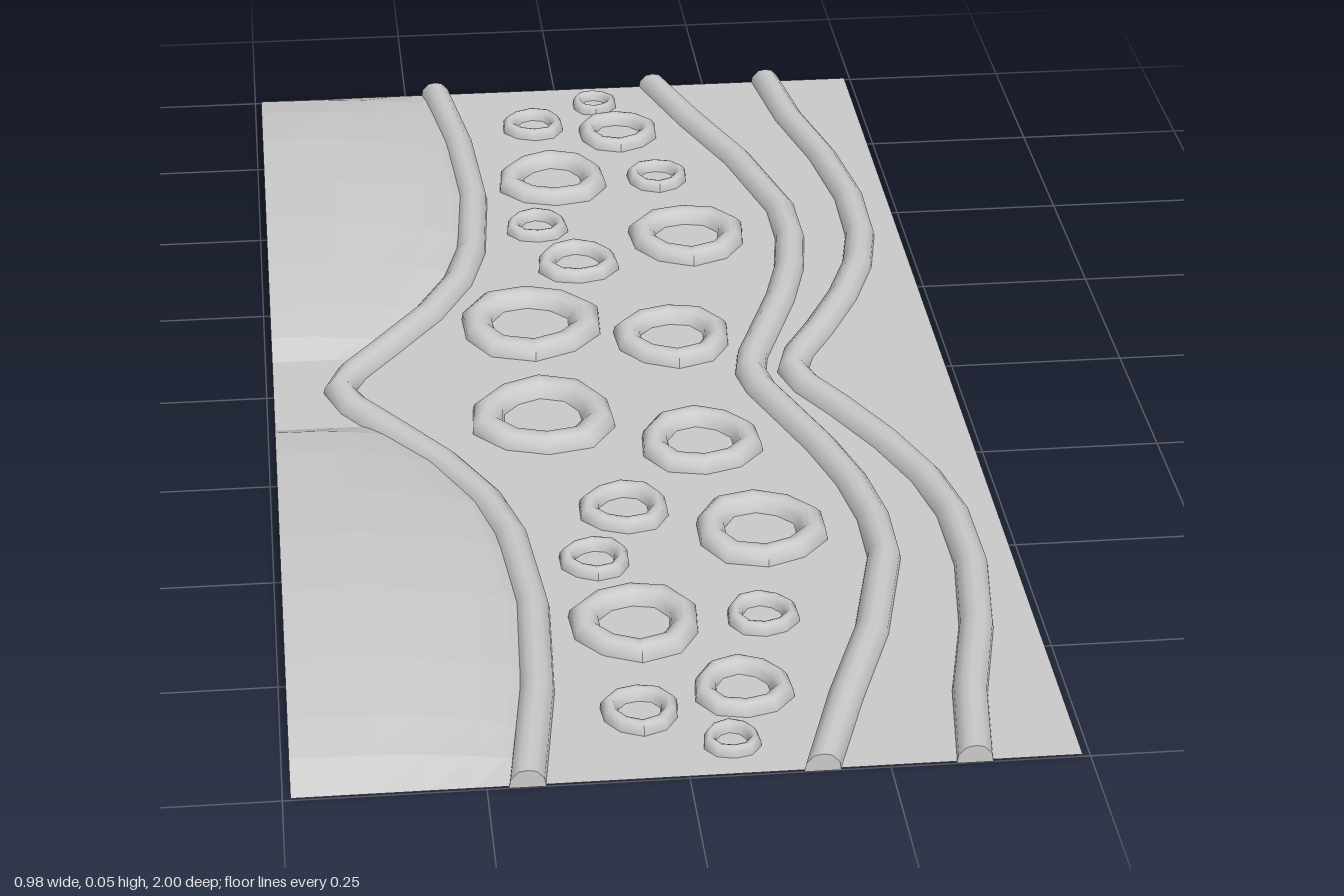
import * as THREE from 'three';

const HALF_X = 0.49;
const BASE = 0.003;
const flat = new THREE.MeshStandardMaterial({ color: 0xcccccc, flatShading: true });
const smooth = new THREE.MeshStandardMaterial({ color: 0xcccccc });
const sheet = new THREE.MeshStandardMaterial({ color: 0xcccccc, side: THREE.DoubleSide });

// Centre line of each ridge for z >= 0, as [z, x]; mirrored for z < 0
const leftLine = [[0, -0.395], [0.05, -0.375], [0.12, -0.325], [0.22, -0.255], [0.32, -0.205],
  [0.42, -0.178], [0.6, -0.163], [0.8, -0.173], [1, -0.2]];
const middleLine = [[0, 0.203], [0.05, 0.212], [0.12, 0.238], [0.22, 0.275], [0.32, 0.303],
  [0.42, 0.318], [0.52, 0.317], [0.7, 0.272], [0.85, 0.215], [1, 0.165]];
const rightLine = [[0, 0.265], [0.05, 0.28], [0.12, 0.32], [0.22, 0.37], [0.32, 0.408],
  [0.42, 0.428], [0.55, 0.43], [0.7, 0.41], [0.85, 0.375], [1, 0.355]];

// Linear interpolation through a short table of [input, output]
function lookup(table, t) {
  for (let i = 1; i < table.length; i++) {
    const [a, va] = table[i - 1];
    const [b, vb] = table[i];
    if (t <= b) return va + (vb - va) * Math.max(0, (t - a) / (b - a));
  }
  return table[table.length - 1][1];
}

// Surface through rows of points: rows run along +z, columns along +x
function loft(rows, capped) {
  const pos = rows.flat(2);
  const n = rows[0].length;
  const index = [];
  for (let i = 0; i < rows.length - 1; i++) {
    for (let j = 0; j < n - 1; j++) {
      const a = i * n + j;
      const b = a + n;
      index.push(a, b, a + 1, a + 1, b, b + 1);
    }
  }
  if (capped) {
    const first = pos.length / 3;
    pos.push(...rows[0].flat(), ...rows[rows.length - 1].flat());
    for (let j = 1; j < n - 1; j++) {
      index.push(first, first + j, first + j + 1);
      index.push(first + n, first + n + j + 1, first + n + j);
    }
  }
  const geo = new THREE.BufferGeometry();
  geo.setAttribute('position', new THREE.Float32BufferAttribute(pos, 3));
  geo.setIndex(index);
  geo.computeVertexNormals();
  return geo;
}

// Rounded bead swept along a centre line
function ridgeGeometry(line) {
  const section = [[-0.023, 0], [-0.021, 0.012], [-0.011, 0.023], [0, 0.025],
    [0.011, 0.023], [0.021, 0.012], [0.023, 0]];
  const path = [...line.slice(1).reverse().map(([z, x]) => [-z, x]), ...line];
  const rows = path.map(([z, x], i) => {
    const end = i === 0 || i === path.length - 1;
    const p = path[Math.max(i - 1, 0)];
    const q = path[Math.min(i + 1, path.length - 1)];
    const dir = end ? new THREE.Vector2(1, 0) : new THREE.Vector2(q[0] - p[0], q[1] - p[1]).normalize();
    return section.map(([s, y]) => [x + s * dir.x, y, z - s * dir.y]);
  });
  return loft(rows, true);
}

// Faceted mound between the left ridge and the panel edge
function moundGeometry(side) {
  const rise = [[0, 0], [0.1, 0.33], [0.23, 0.56], [0.43, 0.78], [0.66, 0.96], [1, 1]];
  const swell = [[0.1, 0], [0.14, 0.4], [0.22, 0.62], [0.34, 0.82], [0.46, 0.96], [0.6, 1],
    [0.76, 0.93], [0.88, 0.72], [0.95, 0.48], [1, 0]];
  const rows = swell.map(([z, h]) => {
    const inner = lookup(leftLine, z);
    return rise.map(([u, r]) =>
      [inner + (-HALF_X - inner) * u, BASE + 0.049 * h * r, side * z]).reverse();
  });
  if (side < 0) rows.reverse();
  return loft(rows, false);
}

// Slightly uneven raised ring with an open middle
function ringGeometry(radius, phase) {
  const h = Math.min(0.025, 0.013 + 0.12 * radius);
  const profile = [[1, 0], [0.98, 0.55], [0.88, 0.92], [0.78, 1], [0.67, 0.9], [0.57, 0.5], [0.54, 0]]
    .map(([r, y]) => new THREE.Vector2(r * radius, y * h));
  const geo = new THREE.LatheGeometry(profile, 10);
  const p = geo.attributes.position;
  for (let i = 0; i < p.count; i++) {
    const a = Math.atan2(p.getZ(i), p.getX(i));
    const k = 0.97 + 0.04 * Math.sin(3 * a + phase);
    p.setX(i, p.getX(i) * k);
    p.setZ(i, p.getZ(i) * k);
  }
  geo.computeVertexNormals();
  return geo;
}

export function createModel() {
  const group = new THREE.Group();
  const add = (name, geo, material) => {
    const mesh = new THREE.Mesh(geo, material);
    mesh.name = name;
    group.add(mesh);
    return mesh;
  };

  // Flat backing panel
  const panel = add('panel', new THREE.PlaneGeometry(HALF_X * 2, 2), sheet);
  panel.rotation.x = -Math.PI / 2;
  panel.position.y = BASE;

  // Wavy ridges
  add('leftRidge', ridgeGeometry(leftLine), smooth);
  add('middleRidge', ridgeGeometry(middleLine), smooth);
  add('rightRidge', ridgeGeometry(rightLine), smooth);

  // Mounds
  add('frontMound', moundGeometry(1), flat);
  add('backMound', moundGeometry(-1), flat);

  // Rings as [x, z, outer radius]: mirrored pairs, then the four in the middle
  const pairs = [[0.06, 0.932, 0.038], [-0.047, 0.857, 0.052], [0.088, 0.818, 0.067],
    [-0.032, 0.654, 0.09], [0.135, 0.65, 0.05], [-0.07, 0.493, 0.05],
    [0.16, 0.438, 0.094], [-0.018, 0.365, 0.065]];
  const rings = [
    ...pairs.flatMap(([x, z, r]) => [[x, z, r], [x, -z, r]]),
    [-0.105, -0.175, 0.11], [0.102, -0.115, 0.09], [-0.108, 0.103, 0.108], [0.106, 0.195, 0.09],
  ];
  rings.forEach(([x, z, r], i) => {
    add('ring' + (i + 1), ringGeometry(r, i * 1.7), smooth).position.set(x, 0, z);
  });
  return group;
}
